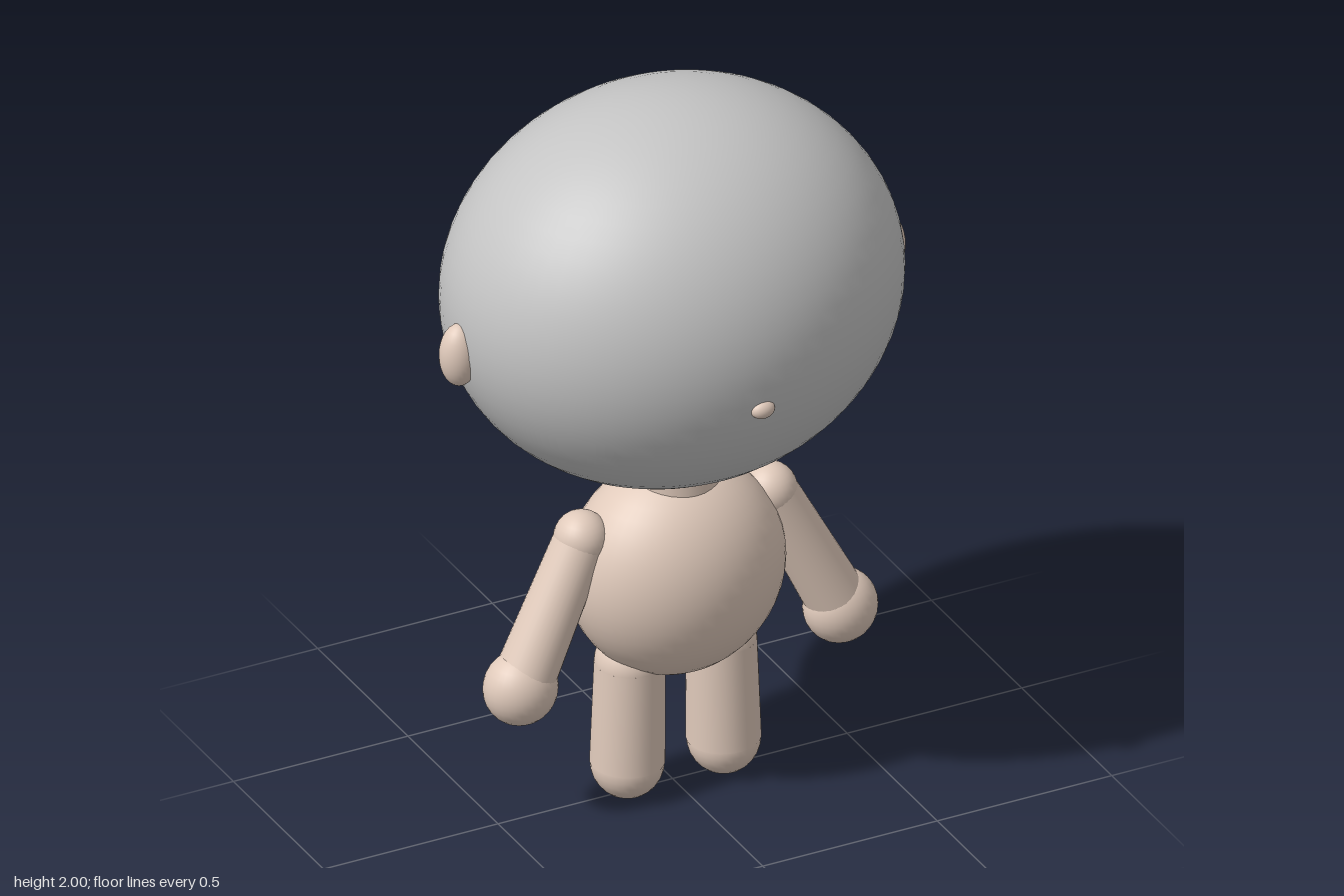
import * as THREE from 'three';

export function createModel() {
  const model = new THREE.Group();
  model.name = 'bigHeadedFigure';

  const grey = new THREE.MeshStandardMaterial({ name: 'headGrey', color: 0xc4c4c4 });
  const skin = new THREE.MeshStandardMaterial({ name: 'skin', color: 0xe0cabb });

  const Z = 0.016; // body axis sits slightly forward

  const ellipsoid = (name, material, pos, radii, detail = 32) => {
    const mesh = new THREE.Mesh(new THREE.SphereGeometry(1, detail, detail / 2), material);
    mesh.name = name;
    mesh.position.set(...pos);
    mesh.scale.set(...radii);
    model.add(mesh);
  };

  // Tapered cylinder running from point a to point b
  const limb = (name, a, b, ra, rb) => {
    const from = new THREE.Vector3(...a);
    const to = new THREE.Vector3(...b);
    const dir = from.clone().sub(to);
    const mesh = new THREE.Mesh(new THREE.CylinderGeometry(ra, rb, dir.length(), 32), skin);
    mesh.name = name;
    mesh.position.copy(from).add(to).multiplyScalar(0.5);
    mesh.quaternion.setFromUnitVectors(new THREE.Vector3(0, 1, 0), dir.normalize());
    model.add(mesh);
  };

  // Head, nose, neck and torso
  ellipsoid('head', grey, [0, 1.467, -0.004], [0.613, 0.533, 0.52], 64);
  ellipsoid('nose', skin, [0, 1.345, 0.5], [0.033, 0.025, 0.023]);
  limb('neck', [0, 1.02, Z], [0, 0.84, Z], 0.12, 0.12);
  ellipsoid('torso', skin, [0, 0.645, Z], [0.294, 0.3, 0.233], 48);

  // Paired parts
  for (const [side, s] of [['left', 1], ['right', -1]]) {
    ellipsoid(side + 'Ear', skin, [s * 0.61, 1.41, -0.002], [0.053, 0.088, 0.05]);

    const shoulder = [s * 0.27, 0.79, Z];
    const hand = [s * 0.458, 0.413, 0.043];
    ellipsoid(side + 'Shoulder', skin, shoulder, [0.072, 0.074, 0.072]);
    limb(side + 'Arm', shoulder, hand, 0.069, 0.081);
    ellipsoid(side + 'Hand', skin, hand, [0.099, 0.101, 0.09]);

    const hip = [s * 0.131, 0.39, Z];
    const foot = [s * 0.138, 0.1, Z];
    ellipsoid(side + 'Hip', skin, hip, [0.092, 0.092, 0.092]);
    limb(side + 'Leg', hip, foot, 0.092, 0.097);
    ellipsoid(side + 'Foot', skin, foot, [0.096, 0.1, 0.096]);
  }

  return model;
}
